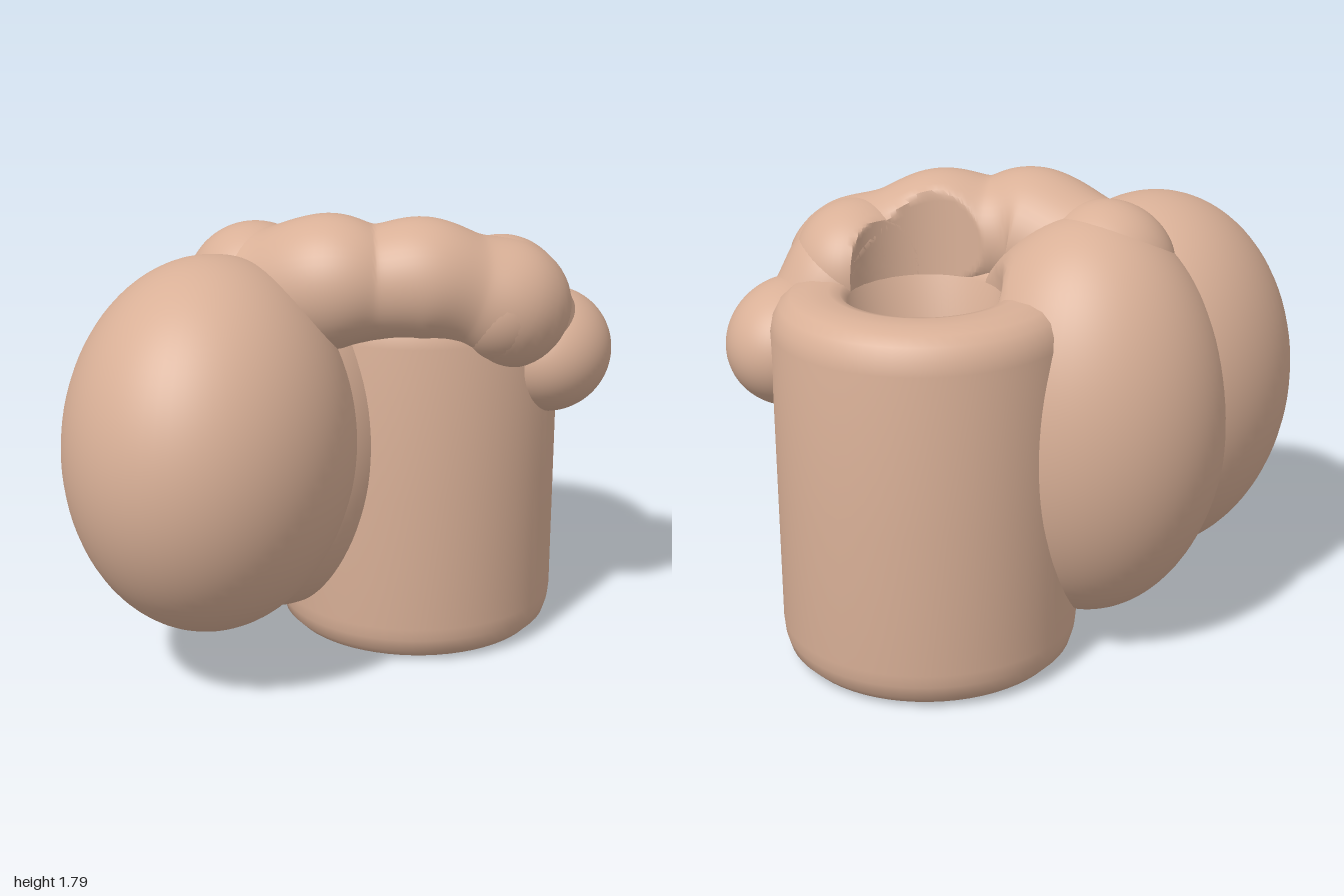
import * as THREE from 'three';
import { toCreasedNormals } from 'three/addons/utils/BufferGeometryUtils.js';

const AXIS = { x: 0.2, z: -0.435 }; // centre of the hollow cylinder
const HOLE = 0.283;
const OUTER = 0.565;

// Pushes every vertex out of the bore so the hole stays open
function clearBore(geometry) {
  const p = geometry.attributes.position;
  for (let i = 0; i < p.count; i++) {
    const dx = p.getX(i) - AXIS.x, dz = p.getZ(i) - AXIS.z;
    const d = Math.hypot(dx, dz);
    if (d < HOLE + 0.002 && d > 1e-5) {
      const k = (HOLE + 0.002) / d;
      p.setX(i, AXIS.x + dx * k);
      p.setZ(i, AXIS.z + dz * k);
    }
  }
  return toCreasedNormals(geometry, 0.7);
}

function lobe(center, radii) {
  const g = new THREE.SphereGeometry(1, 64, 48);
  g.scale(...radii);
  g.translate(...center);
  return clearBore(g);
}

// Tube along a curve whose radius swells at each knuckle; stops are [x, y, z, radius]
function knuckledTube(stops) {
  const curve = new THREE.CatmullRomCurve3(stops.map(s => new THREE.Vector3(s[0], s[1], s[2])), false, 'catmullrom');
  const swell = new THREE.CatmullRomCurve3(stops.map(s => new THREE.Vector3(s[3], 0, 0)), false, 'catmullrom');
  const rings = 110, sides = 48;
  const g = new THREE.TubeGeometry(curve, rings, 1, sides);
  const p = g.attributes.position, v = new THREE.Vector3();
  for (let i = 0; i < p.count; i++) {
    const u = Math.min(1, Math.floor(i / (sides + 1)) / rings);
    const c = curve.getPointAt(u);
    const r = swell.getPoint(curve.getUtoTmapping(u)).x;
    v.fromBufferAttribute(p, i).sub(c).multiplyScalar(r).add(c);
    p.setXYZ(i, v.x, v.y, v.z);
  }
  return clearBore(g);
}

// Closed profile: rounded outside, straight bore
function hollowCylinder() {
  const profile = [
    [HOLE, 0.03], [0.31, 0.008], [0.36, 0], [0.45, 0.003], [0.51, 0.015], [0.545, 0.05], [0.56, 0.1],
    [OUTER, 0.15], [OUTER, 0.7], [OUTER, 1.3], [0.555, 1.35], [0.53, 1.395], [0.49, 1.425],
    [0.43, 1.44], [0.35, 1.44], [0.31, 1.43], [HOLE, 1.4], [HOLE, 0.7], [HOLE, 0.03],
  ].map(([r, y]) => new THREE.Vector2(r, y));
  const g = new THREE.LatheGeometry(profile, 64);
  g.translate(AXIS.x, 0, AXIS.z);
  return toCreasedNormals(g, 0.9);
}

export function createModel() {
  const group = new THREE.Group();
  const clay = new THREE.MeshStandardMaterial({ color: 0xd9b097 });
  clay.name = 'clay';
  const add = (name, geometry) => {
    const mesh = new THREE.Mesh(geometry, clay);
    mesh.name = name;
    group.add(mesh);
  };

  add('hollowCylinder', hollowCylinder());

  // Two overlapping egg-shaped lobes
  add('frontLobe', lobe([-0.435, 0.94, 0.33], [0.547, 0.72, 0.668]));
  add('rearLobe', lobe([-0.33, 0.9, -0.12], [0.53, 0.78, 0.53]));

  // Arm wrapping over the rim, ending in a rounded tip
  add('arm', knuckledTube([
    [-0.42, 1.42, -0.04, 0.25], [-0.24, 1.47, 0.02, 0.25], [-0.03, 1.53, 0.065, 0.26],
    [0.13, 1.53, 0.03, 0.22], [0.3, 1.54, -0.02, 0.235], [0.45, 1.49, -0.09, 0.22],
    [0.58, 1.43, -0.17, 0.25], [0.61, 1.37, -0.28, 0.235], [0.68, 1.26, -0.37, 0.2], [0.73, 1.18, -0.45, 0.2],
  ]));
  add('armShoulder', lobe([-0.36, 1.45, -0.04], [0.27, 0.27, 0.27]));
  add('thirdKnuckle', lobe([0.57, 1.43, -0.2], [0.25, 0.25, 0.29]));
  add('armTip', lobe([0.73, 1.18, -0.44], [0.25, 0.245, 0.305]));

  return group;
}
